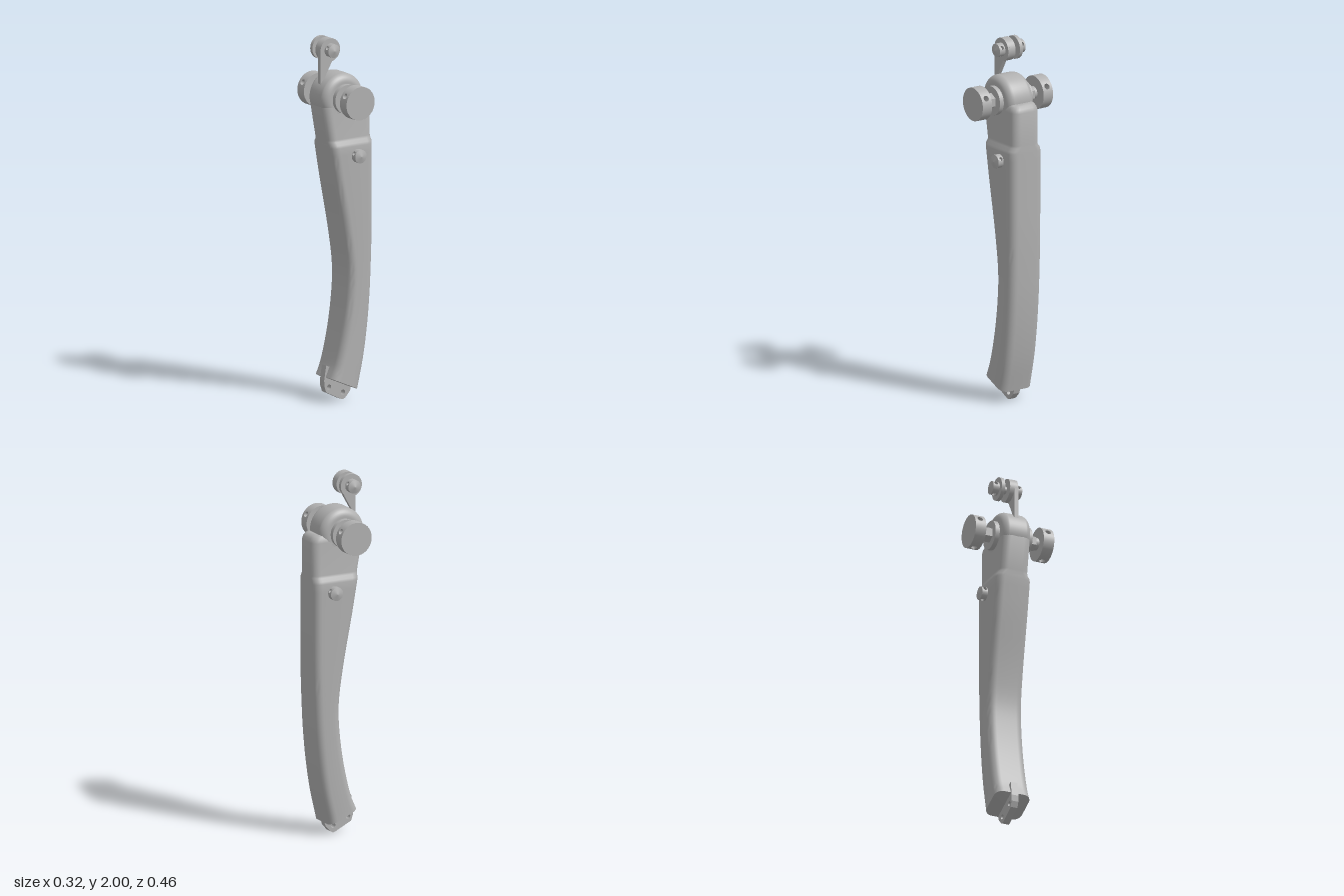
import * as THREE from 'three';
import { toCreasedNormals } from 'three/addons/utils/BufferGeometryUtils.js';

const grey = new THREE.MeshStandardMaterial({ color: 0xb0b0b0, side: THREE.DoubleSide });
grey.name = 'plain grey';

function add(parent, geometry, name) {
  const mesh = new THREE.Mesh(geometry, grey);
  mesh.name = name;
  parent.add(mesh);
  return mesh;
}

// Cylinder along z between two depths
function rod(parent, name, r, z0, z1, sides = 40, rEnd = r) {
  const g = new THREE.CylinderGeometry(rEnd, r, z1 - z0, sides).rotateX(Math.PI / 2);
  g.translate(0, 0, (z0 + z1) / 2);
  return add(parent, sides < 10 ? toCreasedNormals(g, 0.3) : g, name);
}

// Drum along z with three real radial holes in its rim
function holedDrum(parent, name, r, hole, z0, z1, tip = 0) {
  const h = z1 - z0, drum = new THREE.Group();
  drum.name = name;
  drum.rotation.x = Math.PI / 2;
  drum.position.z = (z0 + z1) / 2;
  const half = h / 2 / r, step = Math.PI * 2 / 3;
  for (let i = 0; i < 3; i++) {
    const a = i * step;
    // square patch around the hole, bent onto the rim
    const patch = new THREE.RingGeometry(hole, 1, 32, 4);
    const p = patch.attributes.position, n = patch.attributes.normal;
    for (let k = 0; k < p.count; k++) {
      const x = p.getX(k), y = p.getY(k), len = Math.hypot(x, y);
      const dx = x / len, dy = y / len, t = (len - hole) / (1 - hole);
      const edge = h / 2 / Math.max(Math.abs(dx), Math.abs(dy));
      const d = hole + t * (edge - hole), b = a + dx * d / r;
      p.setXYZ(k, r * Math.sin(b), dy * d, r * Math.cos(b));
      n.setXYZ(k, Math.sin(b), 0, Math.cos(b));
    }
    add(drum, patch, 'rimAroundHole');
    add(drum, new THREE.CylinderGeometry(r, r, h, 14, 1, true, a + half, step - 2 * half), 'rim');
    // bore and its floor
    const bore = new THREE.CylinderGeometry(hole, hole, r * 0.5, 20, 1, true).rotateX(Math.PI / 2);
    add(drum, bore.translate(0, 0, r * 0.74).rotateY(a), 'bore');
    add(drum, new THREE.CircleGeometry(hole, 20).translate(0, 0, r * 0.5).rotateY(a), 'boreFloor');
  }
  const cap = new THREE.CircleGeometry(r, 48);
  add(drum, cap.clone().rotateX(Math.PI / 2).translate(0, -h / 2, 0), 'innerFace');
  if (tip) add(drum, new THREE.ConeGeometry(r, tip, 48, 1, true).translate(0, h / 2 + tip / 2, 0), 'pointedFace');
  else add(drum, cap.rotateX(-Math.PI / 2).translate(0, h / 2, 0), 'outerFace');
  parent.add(drum);
}

// Rounded-rectangle rings: [left x, left y, right x, right y, half depth, corner radius]
function loft(rings) {
  const pos = [], idx = [], per = 28;
  for (const [lx, ly, rx, ry, hz, r] of rings) {
    const w = Math.hypot(rx - lx, ry - ly) / 2, ux = (rx - lx) / 2 / w, uy = (ry - ly) / 2 / w;
    for (let k = 0; k < per; k++) {
      const q = Math.floor(k / 7), a = (q + (k % 7) / 6) * Math.PI / 2;
      const u = (q === 0 || q === 3 ? 1 : -1) * (w - r) + r * Math.cos(a);
      const z = (q < 2 ? 1 : -1) * (hz - r) + r * Math.sin(a);
      pos.push((lx + rx) / 2 + ux * u, (ly + ry) / 2 + uy * u, z);
    }
  }
  for (let j = 0; j < rings.length - 1; j++) {
    for (let k = 0; k < per; k++) {
      const a = j * per + k, b = j * per + (k + 1) % per;
      idx.push(a, a + per, b, b, a + per, b + per);
    }
  }
  // end caps
  const top = (rings.length - 1) * per;
  for (let k = 1; k < per - 1; k++) idx.push(0, k, k + 1, top, top + k + 1, top + k);
  const g = new THREE.BufferGeometry();
  g.setAttribute('position', new THREE.Float32BufferAttribute(pos, 3));
  g.setIndex(idx);
  return toCreasedNormals(g, 0.6);
}

function plate(shape, z0, z1) {
  return new THREE.ExtrudeGeometry(shape, { depth: z1 - z0, bevelEnabled: false, curveSegments: 24 })
    .translate(0, 0, z0);
}

function holder(parent, name, x, y, flip) {
  const g = new THREE.Group();
  g.name = name;
  g.position.set(x, y, 0);
  if (flip) g.rotation.y = Math.PI;
  parent.add(g);
  return g;
}

export function createModel() {
  const model = new THREE.Group();
  model.name = 'leverArm';

  // Curved arm: side curves sampled into rings, then the thinner neck and shoulder
  const curve = (pts) => new THREE.CatmullRomCurve3(pts.map(([x, y]) => new THREE.Vector3(x, y, 0)));
  const left = curve([[-0.108, 0.137], [-0.077, 0.21], [-0.034, 0.39], [-0.008, 0.58], [-0.003, 0.72],
    [-0.028, 0.92], [-0.087, 1.235], [-0.117, 1.41]]);
  const right = curve([[0.06, 0.062], [0.098, 0.23], [0.124, 0.4], [0.141, 0.58], [0.149, 0.74],
    [0.155, 0.95], [0.156, 1.235], [0.156, 1.41]]);
  const rings = [[-0.1, 0.131, 0.053, 0.063, 0.095, 0.04]];
  for (let i = 0; i <= 28; i++) {
    const l = left.getPoint(i / 28), r = right.getPoint(i / 28);
    rings.push([l.x, l.y, r.x, r.y, 0.104, 0.045]);
  }
  rings.push(
    [-0.119, 1.425, 0.156, 1.425, 0.101, 0.045],
    [-0.122, 1.442, 0.156, 1.442, 0.088, 0.045],
    [-0.124, 1.455, 0.156, 1.455, 0.085, 0.045],
    [-0.156, 1.635, 0.156, 1.635, 0.085, 0.045],
    [-0.154, 1.655, 0.15, 1.655, 0.082, 0.045],
    [-0.147, 1.67, 0.138, 1.67, 0.073, 0.04],
    [-0.135, 1.676, 0.122, 1.676, 0.06, 0.035]);
  add(model, loft(rings), 'arm');

  // Rounded pivot head
  const px = -0.027, py = 1.677, f = 0.045, profile = [[0, -0.085]];
  for (let i = 0; i <= 16; i++) {
    const a = -Math.PI / 2 + (i / 16) * Math.PI, side = i < 8 ? -1 : i > 8 ? 1 : 0;
    profile.push([0.09 + f * Math.cos(a), side * 0.04 + f * Math.sin(a)]);
  }
  profile.push([0, 0.085]);
  const head = new THREE.LatheGeometry(profile.map(([x, y]) => new THREE.Vector2(x, y)), 56);
  add(model, head.rotateX(Math.PI / 2).translate(px, py, 0), 'pivotHead');

  // Pivot knobs and clamp nuts on both faces
  for (const flip of [false, true]) {
    const pivot = holder(model, flip ? 'backPivot' : 'frontPivot', px, py, flip);
    rod(pivot, 'collar', 0.08, 0.08, 0.11);
    rod(pivot, 'hexSpacer', 0.044, 0.11, 0.15, 6);
    rod(pivot, 'axle', 0.034, 0.15, 0.17);
    holedDrum(pivot, 'knob', 0.092, 0.016, 0.17, 0.232);
    const nut = holder(model, flip ? 'backNut' : 'frontNut', 0.041, 1.357, flip);
    holedDrum(nut, 'nutBody', 0.037, 0.011, 0.1, 0.137, 0.01);
  }

  // Upper lever tongue with its eye
  const ex = -0.072, ey = 1.937, er = 0.064;
  const tongue = new THREE.Shape();
  tongue.moveTo(0.055, 1.76);
  tongue.absarc(ex, ey, er, 0.35, Math.PI, false);
  tongue.lineTo(-0.136, 1.74);
  add(model, plate(tongue, -0.013, 0.011), 'leverTongue');

  // Bolt, boss, washer and nuts through the eye
  const eye = holder(model, 'cableClamp', ex, ey, false);
  rod(eye, 'eyeBoss', er, -0.037, 0.0112);
  rod(eye, 'washer', er, -0.086, -0.066);
  rod(eye, 'bolt', 0.021, -0.07, -0.03);
  holedDrum(eye, 'frontEyeNut', 0.037, 0.011, 0.011, 0.047, 0.011);
  const backEye = holder(model, 'backEyeNut', ex, ey, true);
  holedDrum(backEye, 'nutBody', 0.037, 0.011, 0.086, 0.123, 0.012);

  // Drilled tab at the foot
  const tab = new THREE.Shape([[-0.105, 0.2], [-0.118, 0.12], [-0.116, 0.085], [-0.105, 0.052], [-0.01, 0.004],
    [0.005, 0], [0.02, 0.008], [0.05, 0.04], [0.057, 0.065], [0.06, 0.13]].map(([x, y]) => new THREE.Vector2(x, y)));
  for (const [x, y] of [[-0.086, 0.079], [0.004, 0.039]]) {
    tab.holes.push(new THREE.Path().absarc(x, y, 0.014, 0, Math.PI * 2, true));
  }
  add(model, plate(tab, -0.02, 0.02), 'footTab');

  return model;
}
